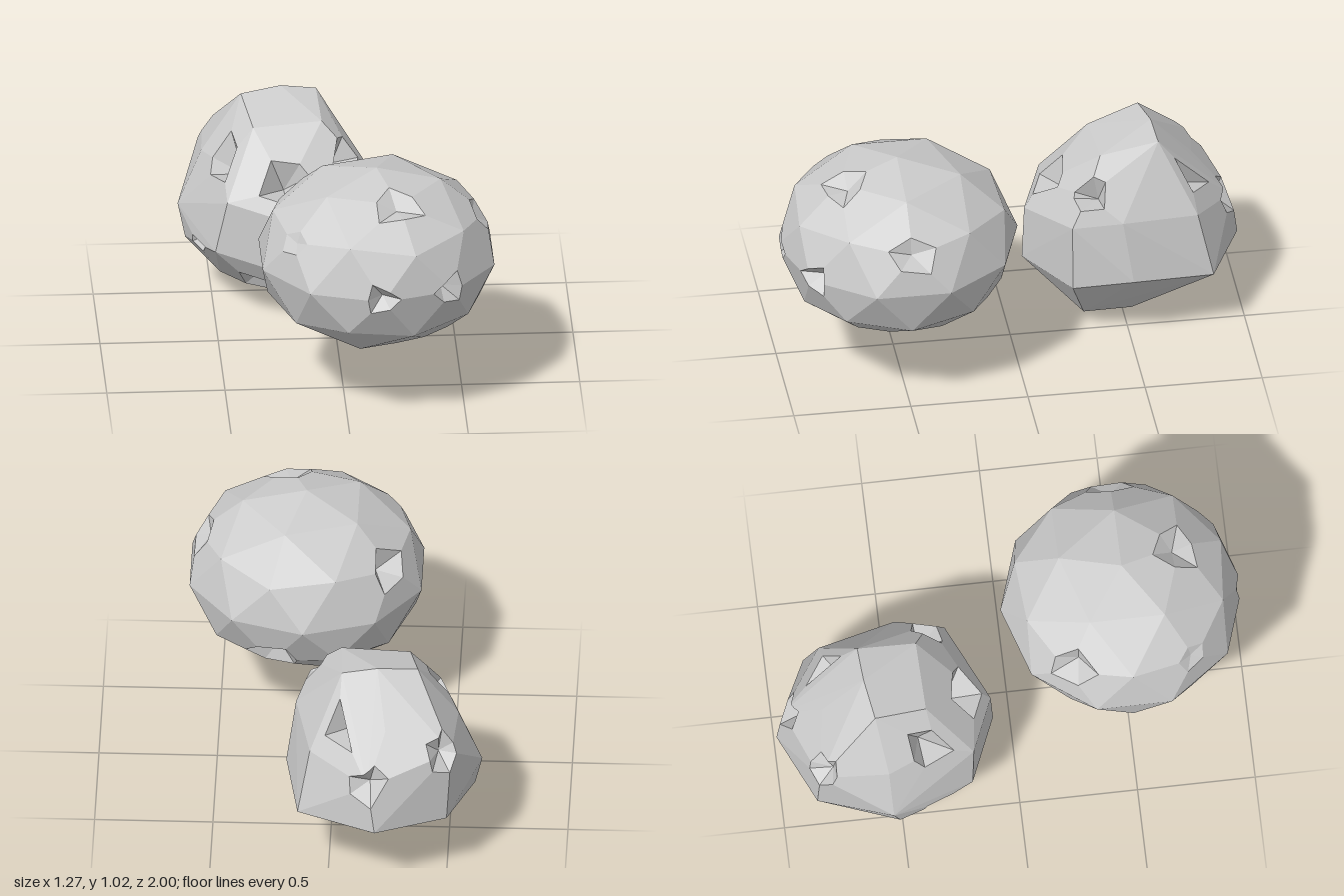
import * as THREE from 'three';
import { ConvexGeometry } from 'three/addons/geometries/ConvexGeometry.js';

const V = (p) => new THREE.Vector3(...p);

// Turns the corners nearest to the given points into small sunken pits.
// pits: [x, y, z, rim radius, depth]
function carvePits(geometry, centre, pits) {
  const source = geometry.index ? geometry.toNonIndexed() : geometry;
  const pos = source.attributes.position;
  const out = [];
  const face = (...pts) => pts.forEach((p) => out.push(p.x, p.y, p.z));
  const pitAt = (v) => pits.find((p) => v.distanceTo(V(p)) < 0.035);
  // uneven rim: the radius varies with the direction of the edge
  const rim = (v, next, radius) => {
    const uneven = 1 + 0.3 * Math.sin(9 * (next.x + 2 * next.y + 3 * next.z));
    return v.clone().lerp(next, Math.min(0.47, (radius * uneven) / v.distanceTo(next)));
  };

  for (let i = 0; i < pos.count; i += 3) {
    const tri = [0, 1, 2].map((k) => new THREE.Vector3().fromBufferAttribute(pos, i + k));
    const outline = [];
    tri.forEach((v, k) => {
      const pit = pitAt(v);
      if (!pit) return outline.push(v);
      const before = rim(v, tri[(k + 2) % 3], pit[3]);
      const after = rim(v, tri[(k + 1) % 3], pit[3]);
      const floor = v.clone().add(centre.clone().sub(v).setLength(pit[4]));
      outline.push(before, after);
      face(floor, after, before);
    });
    for (let k = 1; k < outline.length - 1; k++) face(outline[0], outline[k], outline[k + 1]);
  }
  const result = new THREE.BufferGeometry();
  result.setAttribute('position', new THREE.Float32BufferAttribute(out, 3));
  result.computeVertexNormals();
  return result;
}

// Flattened ball of 80 facets with a corner at each pole
function roundRock() {
  const centre = V([0.14, 0.63, 0.505]);
  const size = V([0.515, 0.39, 0.515]);
  const ball = new THREE.IcosahedronGeometry(1, 1);
  ball.rotateZ(-Math.atan(2 / (1 + Math.sqrt(5))));
  ball.scale(size.x, size.y, size.z).translate(centre.x, centre.y, centre.z);
  // directions on the unit ball, rim radius, depth
  const pits = [
    [0, 0, 1, 0.07, 0.08],
    [0.588, 0, 0.809, 0.075, 0.09],
    [0.894, 0.447, 0, 0.09, 0.06],
    [0.425, -0.851, 0.309, 0.13, 0.12],
    [0.263, -0.526, -0.809, 0.13, 0.11],
    [-0.724, 0.447, -0.526, 0.12, 0.1],
    [0.162, 0.851, 0.5, 0.1, 0.06],
    [-0.724, 0.447, 0.526, 0.06, 0.03],
  ].map(([x, y, z, r, d]) => [...V([x, y, z]).multiply(size).add(centre).toArray(), r, d]);
  return carvePits(ball, centre, pits);
}

// Angular boulder: hull around a handful of corners
function angularRock() {
  const pits = [
    [-0.57, 0.29, -0.36, 0.07, 0.08],
    [-0.31, 0.13, -0.22, 0.11, 0.1],
    [-0.52, 0.62, -0.85, 0.09, 0.09],
    [-0.04, 0.71, -0.77, 0.14, 0.11],
    [-0.46, 0.66, -0.35, 0.14, 0.14],
    [0.08, 0.71, -0.32, 0.13, 0.12],
    [-0.2, 0.62, -0.16, 0.17, 0.14],
    [-0.17, 0.51, -0.97, 0.08, 0.08],
  ];
  const corners = [
    // crown
    [-0.37, 0.87, -0.6], [-0.2, 0.89, -0.63], [-0.05, 0.87, -0.64],
    [-0.04, 0.83, -0.39], [-0.33, 0.81, -0.38], [-0.24, 0.69, -0.81],
    // sides
    [0.11, 0.57, -0.25], [0.15, 0.6, -0.46], [0.08, 0.57, -0.79],
    [0.19, 0.33, -0.5], [0.12, 0.28, -0.25], [0.13, 0.3, -0.85],
    [-0.64, 0.39, -0.55], [-0.54, 0.63, -0.56], [-0.5, 0.32, -0.2], [-0.45, 0.55, -0.19],
    [-0.5, 0.29, -0.86], [-0.61, 0.25, -0.52],
    // front and back
    [-0.2, 0.26, -0.08], [-0.2, 0.5, -0.09], [-0.2, 0.3, -1],
    // underside
    [-0.14, 0, -0.54], [-0.04, 0.06, -0.32], [-0.47, 0.13, -0.42],
  ];
  const hull = new ConvexGeometry([...corners, ...pits].map(([x, y, z]) => V([x, y, z])));
  return carvePits(hull, V([-0.22, 0.45, -0.53]), pits);
}

export function createModel() {
  const group = new THREE.Group();
  const material = new THREE.MeshStandardMaterial({ color: 0xcccccc, flatShading: true });
  const parts = { roundRock: roundRock(), angularRock: angularRock() };
  for (const [name, geometry] of Object.entries(parts)) {
    const mesh = new THREE.Mesh(geometry, material);
    mesh.name = name;
    group.add(mesh);
  }
  return group;
}
